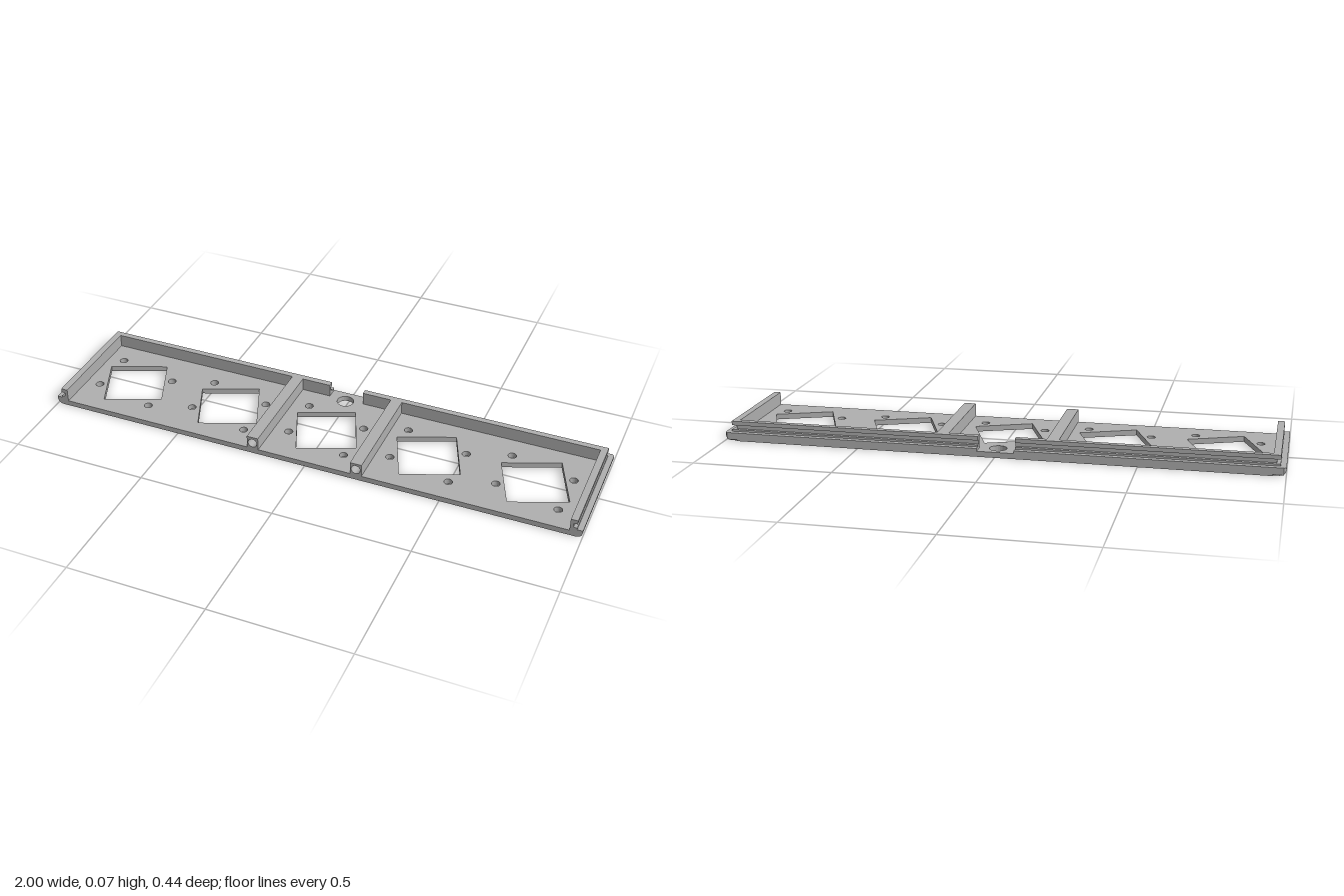
import * as THREE from 'three';
import { toCreasedNormals } from 'three/addons/utils/BufferGeometryUtils.js';

const FRONT = 0.222, BACK = -0.222;   // z limits of the tray
const INNER_X = 0.955, INNER_Z = -0.18; // inner faces of the walls
const GAP = 0.066;                    // half width of the cable gap
const FLOOR = 0.02, LIP = 0.03, TOP = 0.068;

export function createModel() {
  const model = new THREE.Group();
  model.name = 'mountingTray';
  const grey = new THREE.MeshStandardMaterial({ color: 0xb0b0b0 });
  grey.name = 'grey plastic';

  const add = (name, geometry) => {
    const mesh = new THREE.Mesh(geometry, grey);
    mesh.name = name;
    model.add(mesh);
    return mesh;
  };
  const extrude = (shape, depth) =>
    new THREE.ExtrudeGeometry(shape, { depth, bevelEnabled: false, curveSegments: 12 });
  const outline = (pts) => new THREE.Shape(pts.map(([a, b]) => new THREE.Vector2(a, b)));
  // Plan shapes use (x, -z) and rise from y0 to y1
  const slab = (shape, y0, y1) => extrude(shape, y1 - y0).rotateX(-Math.PI / 2).translate(0, y0, 0);
  const circle = (x, y, r) => new THREE.Path().absarc(x, y, r, 0, Math.PI * 2, true);

  // Floor with five tilted square windows, screw holes and a cable hole
  const floor = outline([[-INNER_X, -FRONT], [INNER_X, -FRONT], [INNER_X, -BACK], [-INNER_X, -BACK]]);
  const corners = [[0.059, -0.139], [0.139, 0.059], [-0.059, 0.139], [-0.139, -0.059]];
  const screws = [[-0.115, -0.113], [0.122, -0.06], [-0.122, 0.06], [0.113, 0.113]];
  for (let i = -2; i <= 2; i++) {
    const cx = i * 0.39, cz = 0.021;
    floor.holes.push(new THREE.Path(corners.map(([x, z]) => new THREE.Vector2(cx + x, -cz - z))));
    for (const [x, z] of screws) floor.holes.push(circle(cx + x, -cz - z, 0.015));
  }
  floor.holes.push(circle(-0.003, 0.171, 0.031));
  add('floor', slab(floor, 0, FLOOR));

  // Side rail section with a rounded lower edge
  const railSection = () => {
    const s = new THREE.Shape();
    s.moveTo(INNER_X, 0);
    s.lineTo(0.975, 0);
    s.quadraticCurveTo(1, 0, 1, 0.025);
    s.lineTo(1, LIP);
    s.lineTo(INNER_X, LIP);
    return s;
  };

  for (const side of [1, -1]) {
    const label = side > 0 ? 'left' : 'right';

    // Lower side rail, with a chamfered end at the back
    const chamfer = 0.008;
    const rail = extrude(railSection(), FRONT - BACK - chamfer).translate(0, 0, BACK + chamfer);
    const end = extrude(railSection(), chamfer).translate(0, 0, BACK);
    const p = end.attributes.position;
    for (let i = 0; i < p.count; i++) {
      if (p.getZ(i) < BACK + 0.001) {
        p.setX(i, Math.min(p.getX(i), 1 - chamfer));
        p.setY(i, Math.max(p.getY(i), 0.005));
      }
    }
    for (const [name, g] of [['SideRail', rail], ['RailEnd', end]]) {
      if (side < 0) g.rotateY(Math.PI).scale(1, 1, 1);
      if (side < 0) {
        // Flip front to back so the chamfer stays at the rear
        g.scale(1, 1, -1);
        const q = g.attributes.position;
        for (let i = 0; i < q.count; i += 3) {
          const a = new THREE.Vector3().fromBufferAttribute(q, i + 1);
          const b = new THREE.Vector3().fromBufferAttribute(q, i + 2);
          q.setXYZ(i + 1, b.x, b.y, b.z);
          q.setXYZ(i + 2, a.x, a.y, a.z);
        }
      }
      add(label + name, toCreasedNormals(g, 0.6));
    }

    // L-shaped wall in layers: lip, foot, recessed groove, top flange
    const layers = [
      ['BackLip', FLOOR, LIP, INNER_X + 0.002, BACK],
      ['WallFoot', LIP, 0.037, 0.98, -0.202],
      ['WallGroove', 0.037, 0.053, 0.967, -0.189],
      ['WallFlange', 0.053, TOP, 0.98, -0.202],
    ];
    for (const [name, y0, y1, x, z] of layers) {
      const gap = GAP - side * 0.003;
      const pts = [[gap, INNER_Z], [gap, z], [x, z], [x, FRONT], [INNER_X, FRONT], [INNER_X, INNER_Z]];
      add(label + name, slab(outline(pts.map(([a, b]) => [side * a, -b])), y0, y1));
    }

    // Cross rib with a blind screw hole in its front end
    const cx = side * 0.197 - 0.003, w = 0.0215, bore = 0.1;
    const face = outline([[cx - w, FLOOR], [cx + w, FLOOR], [cx + w, TOP], [cx - w, TOP]]);
    face.holes.push(circle(cx, 0.043, 0.017));
    add(label + 'RibFront', extrude(face, bore).translate(0, 0, FRONT - bore));
    const length = FRONT - bore - INNER_Z;
    add(label + 'Rib', new THREE.BoxGeometry(2 * w, TOP - FLOOR, length)
      .translate(cx, (TOP + FLOOR) / 2, INNER_Z + length / 2));
  }

  return model;
}
